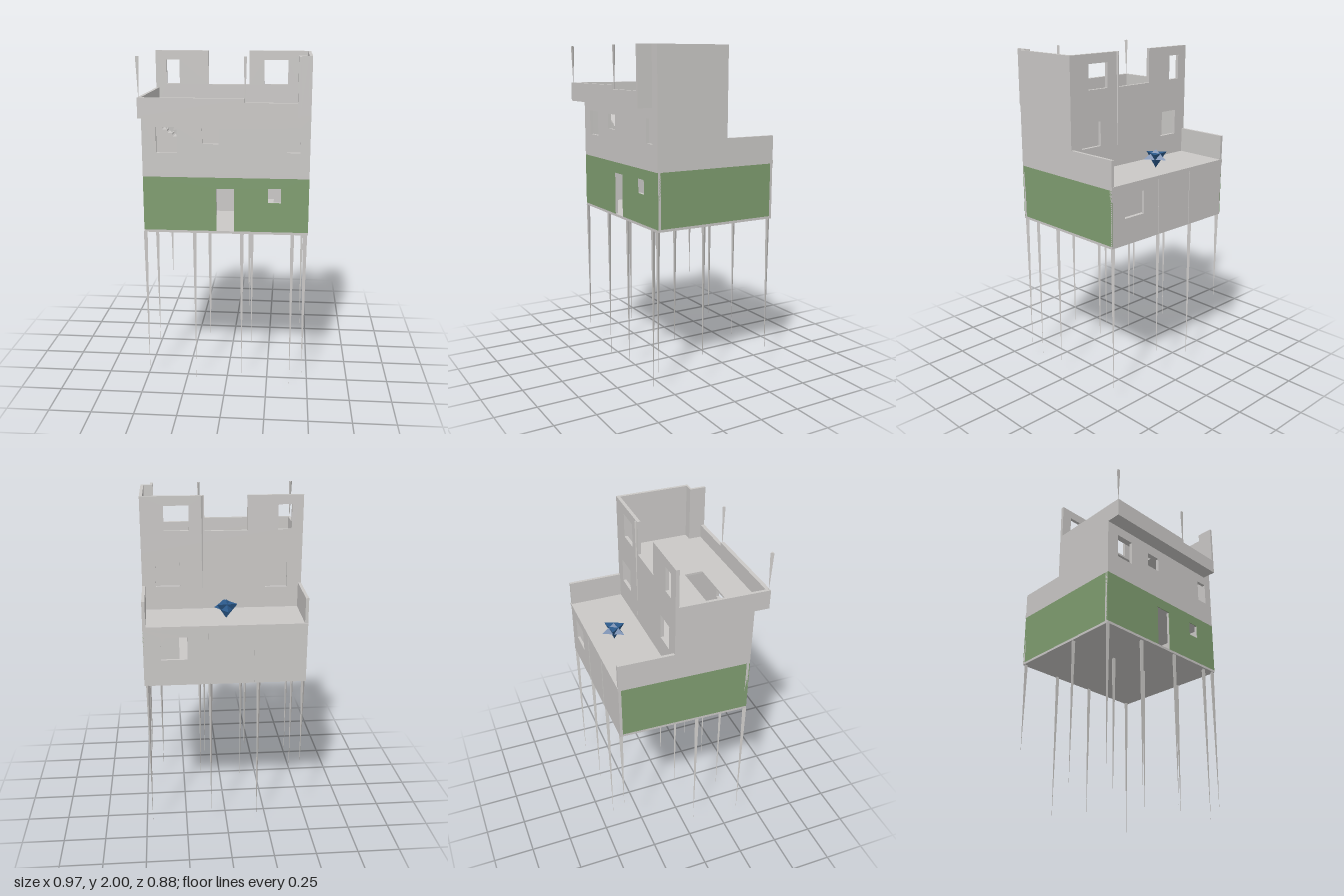
import * as THREE from 'three';

const material = (name, color) => {
  const m = new THREE.MeshStandardMaterial({ color, side: THREE.DoubleSide, flatShading: true });
  m.name = name;
  return m;
};

export function createModel() {
  const model = new THREE.Group();
  model.name = 'stiltHouse';
  const concrete = material('concreteGrey', 0xcac8c6);
  const green = material('paintedGreen', 0x7f9d70);
  const blue = material('ornamentBlue', 0x2b5a8c);

  // Adds a part in world coordinates; the left-hand edge of the plan is slightly skewed
  function add(name, geometry, mat = concrete) {
    const geo = geometry.index ? geometry.toNonIndexed() : geometry;
    const p = geo.attributes.position;
    for (let i = 0; i < p.count; i++) {
      if (p.getX(i) < -0.44) p.setX(i, p.getX(i) - 0.034 * p.getZ(i));
    }
    geo.computeVertexNormals();
    const mesh = new THREE.Mesh(geo, mat);
    mesh.name = name;
    model.add(mesh);
  }

  // Box given by its limits
  function box(name, x0, x1, y0, y1, z0, z1, mat) {
    const g = new THREE.BoxGeometry(x1 - x0, y1 - y0, z1 - z0);
    g.translate((x0 + x1) / 2, (y0 + y1) / 2, (z0 + z1) / 2);
    add(name, g, mat);
  }

  const path = (P, pts) => {
    const s = new P();
    pts.forEach(([x, y], i) => (i ? s.lineTo(x, y) : s.moveTo(x, y)));
    s.closePath();
    return s;
  };
  const rect = ([x0, x1, y0, y1]) => [[x0, y0], [x1, y0], [x1, y1], [x0, y1]];

  // Upright wall parallel to the front, with rectangular openings
  function wall(name, outline, holes, z0, z1, mat) {
    const s = path(THREE.Shape, outline);
    holes.forEach((h) => s.holes.push(path(THREE.Path, rect(h))));
    const g = new THREE.ExtrudeGeometry(s, { depth: z1 - z0, bevelEnabled: false });
    g.translate(0, 0, z0);
    add(name, g, mat);
  }

  // Three-sided spike, wide at the top and pointed at the bottom
  function spike(name, x, z, top, bottom, r = 0.015) {
    const g = new THREE.ConeGeometry(r, top - bottom, 3, 1);
    g.rotateX(Math.PI);
    g.translate(x, (top + bottom) / 2, z);
    add(name, g);
  }

  const L = -0.47, R = 0.48, F = 0.35, B = -0.435;

  // Ground floor
  box('groundSlab', L, R, 0.975, 0.99, B, F);
  const withDoor = [[L, 0.99], [-0.055, 0.99], [-0.055, 1.245], [0.05, 1.245],
    [0.05, 0.99], [R, 0.99], [R, 1.31], [L, 1.31]];
  const frontWindow = [[0.245, 0.32, 1.165, 1.25]];
  wall('groundFrontWall', withDoor, frontWindow, F - 0.02, F - 0.004);
  wall('groundFrontPaint', withDoor, frontWindow, F - 0.004, F, green);
  wall('groundBackWall', rect([L, R, 0.99, 1.31]), [[0.23, 0.38, 1.13, 1.265]], B, B + 0.016);
  wall('groundInnerWall', rect([L + 0.02, R - 0.02, 0.99, 1.31]), [[0.12, 0.27, 1.0, 1.27]], -0.105, -0.09);
  box('groundLeftWall', R - 0.02, R - 0.004, 0.99, 1.31, B + 0.016, F - 0.02);
  box('groundRightWall', L + 0.004, L + 0.02, 0.99, 1.31, B + 0.016, F - 0.02);
  box('groundLeftPaint', R - 0.004, R, 0.99, 1.31, B, F, green);
  box('groundRightPaint', L, L + 0.004, 0.99, 1.31, B, F, green);
  for (const x of [0.11, -0.155]) box('backPost', x - 0.002, x + 0.002, 0.98, 1.31, B - 0.004, B);

  // Rear terrace on the ground floor roof
  box('terraceSlab', L, R, 1.31, 1.33, B - 0.004, F);
  box('terraceRightParapet', L, L + 0.018, 1.33, 1.477, B, -0.108);
  box('terraceLeftParapet', R - 0.018, R, 1.33, 1.477, B, -0.108);

  // Middle floor
  wall('middleFrontWall', rect([L, R, 1.33, 1.66]),
    [[-0.4, -0.28, 1.45, 1.6], [-0.135, -0.04, 1.505, 1.595], [0.35, 0.425, 1.46, 1.6]], F - 0.02, F);
  wall('middleBackWall', rect([L, R, 1.33, 1.66]),
    [[0.256, 0.4, 1.47, 1.615], [-0.38, -0.25, 1.455, 1.605]], -0.108, -0.088);
  box('middleInnerWall', L + 0.02, R - 0.02, 1.33, 1.66, 0.07, 0.085);
  box('middleLeftWall', R - 0.018, R, 1.33, 1.66, -0.088, F - 0.02);
  box('middleRightWall', L, L + 0.018, 1.33, 1.66, -0.088, F - 0.02);

  // Stairs below the opening: treads with split riser plates
  for (let i = 0; i < 14; i++) {
    const x = -0.425 + i * 0.0305, y = 1.62 - i * 0.02;
    box('stairTread', x - 0.015, x + 0.015, y - 0.02, y - 0.012, 0.14, 0.25);
    const g = new THREE.BufferGeometry().setFromPoints([
      new THREE.Vector3(x + 0.01, y + 0.015, 0.14),
      new THREE.Vector3(x - 0.014, y + 0.025, 0.25),
      new THREE.Vector3(x + 0.014, y - 0.01, 0.25)]);
    add('stairRiser', g);
  }

  // Upper floor slab with stair opening and notched front corner
  const slab = path(THREE.Shape, [[L, 0.108], [R, 0.108], [R, -F], [0.42, -F], [0.42, -0.438], [L, -0.438]]);
  slab.holes.push(path(THREE.Path, rect([-0.438, 0, -0.25, -0.14])));
  const slabGeo = new THREE.ExtrudeGeometry(slab, { depth: 0.012, bevelEnabled: false });
  slabGeo.rotateX(-Math.PI / 2);
  slabGeo.translate(0, 1.66, 0);
  add('upperSlab', slabGeo);

  // Upper floor walls and balcony parapet
  wall('upperBackWall',
    [[L, 1.672], [R, 1.672], [R, 2], [0.11, 2], [0.11, 1.797], [-0.14, 1.797], [-0.14, 2], [L, 2]],
    [[-0.4, -0.32, 1.8, 1.945], [0.2, 0.345, 1.8, 1.945]], -0.108, -0.088);
  box('upperLeftWall', R - 0.018, R, 1.672, 2, -0.088, F);
  box('upperReturnWall', 0.42, R - 0.018, 1.672, 2, F - 0.012, F);
  box('balconyEndWall', 0.404, 0.42, 1.672, 2, F - 0.012, 0.438);
  box('frontParapet', L, 0.11, 1.672, 1.775, 0.415, 0.438);
  box('frontParapet', 0.11, 0.404, 1.672, 1.752, 0.415, 0.438);
  box('rightParapet', L, L + 0.018, 1.672, 1.775, -0.088, 0.415);
  spike('parapetSpike', -0.462, 0.428, 2, 1.76, 0.012);
  spike('parapetSpike', 0.115, 0.428, 2, 1.69, 0.01);
  spike('wallSpike', 0.125, -0.112, 2, 1.35, 0.006);

  // Tapering stilts: x, z, bottom
  const stilts = [
    [-0.463, 0.343, 0.07], [-0.185, 0.33, 0.02], [0.095, 0.34, 0.05], [0.39, 0.33, 0.0], [0.465, 0.34, 0.08],
    [-0.458, 0.04, 0.1], [-0.125, 0.04, 0.1], [0.14, 0.04, 0.09], [0.468, 0.04, 0.08],
    [-0.455, -0.425, 0.4], [-0.18, -0.425, 0.03], [0.1, -0.425, 0.1], [0.46, -0.425, 0.06]];
  for (const [x, z, bottom] of stilts) spike('stilt', x, z, 0.978, bottom, 0.013);

  // Blue star ornament on the terrace: two crossed pyramids
  const upper = new THREE.ConeGeometry(0.075, 0.055, 3);
  upper.rotateY(Math.PI + 0.08);
  upper.translate(0, 1.415, -0.305);
  add('starTop', upper, blue);
  const lower = new THREE.ConeGeometry(0.068, 0.09, 3);
  lower.rotateX(Math.PI);
  lower.rotateY(Math.PI + 0.12);
  lower.translate(0, 1.377, -0.305);
  add('starBottom', lower, blue);

  return model;
}
